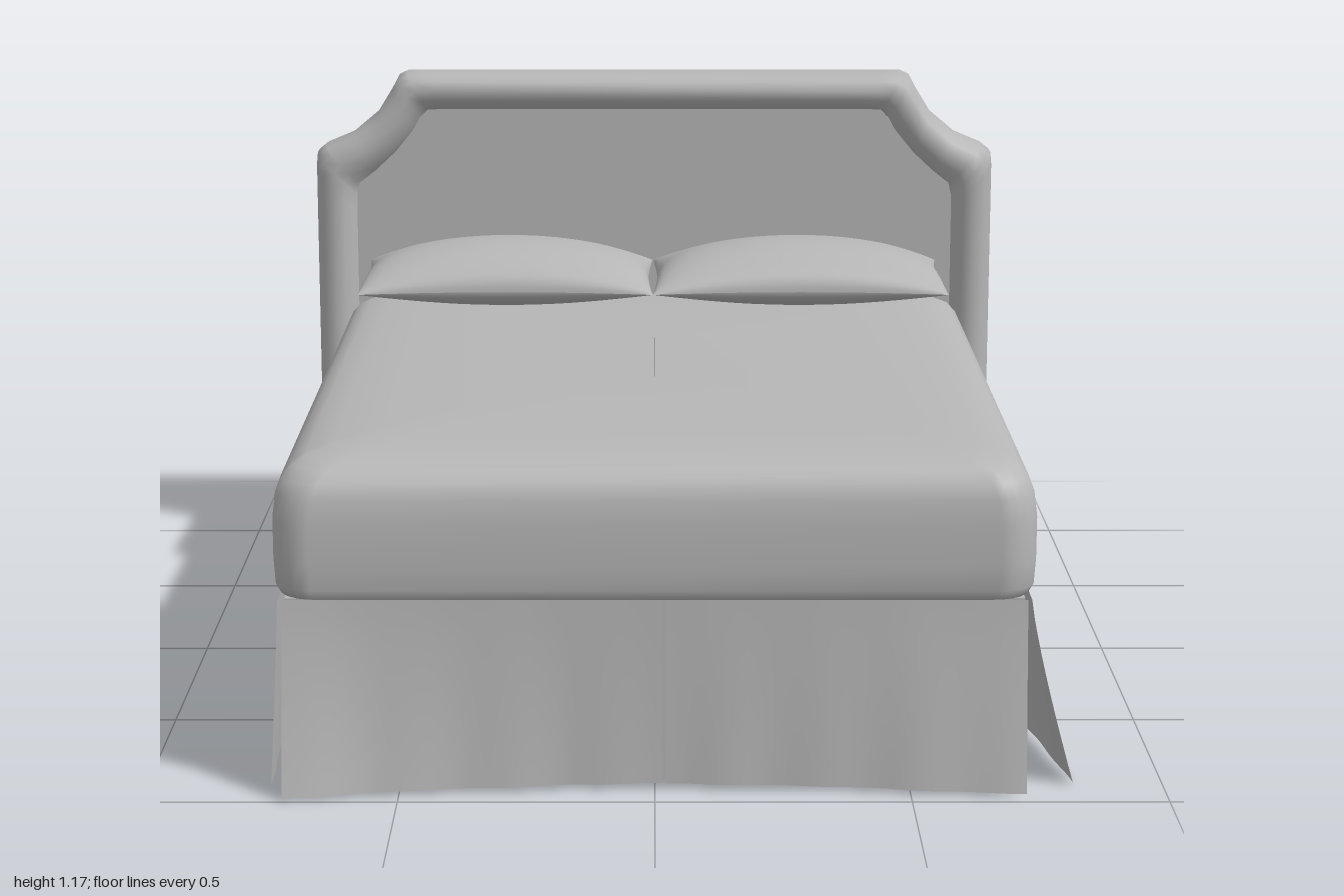
import * as THREE from 'three';
import { mergeVertices } from 'three/addons/utils/BufferGeometryUtils.js';

const upholstery = new THREE.MeshStandardMaterial({ color: 0xb6b6b6, side: THREE.DoubleSide });
upholstery.name = 'grey fabric';

const lerp = THREE.MathUtils.lerp;

// Skin a surface over rows of points, all rows the same length
function loft(rows) {
  const n = rows[0].length, index = [];
  for (let i = 0; i < rows.length - 1; i++) {
    for (let j = 0; j < n - 1; j++) {
      const a = i * n + j, d = a + n;
      index.push(a, a + 1, d + 1, a, d + 1, d);
    }
  }
  const g = new THREE.BufferGeometry();
  g.setAttribute('position', new THREE.Float32BufferAttribute(rows.flat(2), 3));
  g.setIndex(index);
  const welded = mergeVertices(g, 1e-5);
  welded.computeVertexNormals();
  return welded;
}

function part(name, geometry, x = 0, y = 0, z = 0) {
  const mesh = new THREE.Mesh(geometry, upholstery);
  mesh.name = name;
  mesh.position.set(x, y, z);
  return mesh;
}

// Closed rounded rectangle at height y
function roundedRing(y, hx, hz, r) {
  const ring = [];
  const corners = [[1, -1], [-1, -1], [-1, 1], [1, 1]];
  corners.forEach(([sx, sz], k) => {
    for (let s = 0; s <= 6; s++) {
      const a = (k + s / 6) * Math.PI / 2;
      ring.push([sx * (hx - r) + r * Math.cos(a), y, sz * (hz - r) - r * Math.sin(a)]);
    }
  });
  ring.push(ring[0].slice());
  return ring;
}

// Left half of the headboard: outer and inner edges of the padded border
const outerHalf = [[-.825, .045], [-.825, .06], [-.825, .955], [-.822, .985], [-.80, 1.003], [-.735, 1.03],
  [-.675, 1.08], [-.635, 1.145], [-.622, 1.17], [-.60, 1.18], [-.56, 1.18]];
const innerHalf = [[-.725, .045], [-.725, .06], [-.725, .84], [-.724, .88], [-.718, .908], [-.68, .938],
  [-.63, .985], [-.585, 1.04], [-.57, 1.068], [-.55, 1.088], [-.50, 1.09]];
const mirrored = half => [...half, ...half.slice().reverse().map(([x, y]) => [-x, y])];

function headboard() {
  const group = new THREE.Group();
  group.name = 'headboard';
  const outer = mirrored(outerHalf), inner = mirrored(innerHalf);
  const across = (i, s) => [lerp(outer[i][0], inner[i][0], s), lerp(outer[i][1], inner[i][1], s)];

  // Border cross-section: fraction from outer to inner edge, depth
  const section = [[.12, -1], [.03, -.993], [0, -.98], [0, -.925], [.06, -.9], [.2, -.882], [.45, -.873],
    [.7, -.88], [.9, -.9], [1, -.92]];
  const rows = outer.map((_, i) => section.map(([s, z]) => [...across(i, s), z]));
  const cap = x => section.map(() => [x, .045, -.94]);
  group.add(part('paddedBorder', loft([cap(-.775), ...rows, cap(.775)])));

  // Recessed panel, running through to the flat back
  const outline = new THREE.Shape(outer.map((_, i) => new THREE.Vector2(...across(i, .12))));
  const panel = new THREE.ExtrudeGeometry(outline, { depth: .085, bevelEnabled: false });
  group.add(part('panel', panel, 0, 0, -1));

  // Small round feet
  for (const side of [-1, 1]) {
    const foot = part('foot', new THREE.SphereGeometry(.035, 16, 10), side * .68, .032, -.94);
    foot.scale.y = .75;
    group.add(foot);
  }
  return group;
}

function mattress() {
  // Height and inset, from underside to crown
  const profile = [[.385, .03], [.39, .012], [.41, .003], [.46, 0], [.54, 0], [.59, .006], [.62, .017],
    [.642, .036], [.656, .062], [.666, .11], [.674, .2], [.68, .4]];
  const rings = profile.map(([y, inset]) => roundedRing(y, .745 - inset, .895 - inset, .075));
  const underside = roundedRing(.385, .001, .15, .001), crown = roundedRing(.681, .001, .2, .001);
  return part('mattress', loft([underside, ...rings, crown]), 0, 0, .035);
}

// Hanging cloth; flare lists the hem's outward swing from start to end
function skirtPanel(name, start, end, flare, place, hemAt, phase) {
  const cols = 40, rowCount = 10, rows = [];
  for (let i = 0; i <= rowCount; i++) {
    const v = i / rowCount, row = [];
    for (let j = 0; j <= cols; j++) {
      const u = j / cols, f = u * (flare.length - 1), k = Math.min(Math.floor(f), flare.length - 2);
      const swing = lerp(flare[k], flare[k + 1], f - k);
      const along = lerp(start, end, u);
      const ripple = .005 * v * Math.sin(u * 17 + phase) * Math.sin(u * 7 + phase * 2);
      row.push(place(along, lerp(.39, hemAt(along), v), swing * Math.pow(v, 1.2) + ripple));
    }
    rows.push(row.reverse());
  }
  return part(name, loft(rows));
}

function skirt() {
  const group = new THREE.Group();
  group.name = 'bedSkirt';
  const front = (a, y, out) => [a, y, .918 + out];
  const left = (a, y, out) => [.732 + out, y, a - (.39 - y) * .06 * a];
  const right = (a, y, out) => [-.732 - out, y, a - (.39 - y) * .06 * a];
  const frontHem = x => .018 - .008 * Math.abs(x);
  const sideHem = z => .03 - .022 * Math.abs(z);
  group.add(
    skirtPanel('frontRightSkirt', -.725, .014, [.078, .05, .03, .012, .01], front, frontHem, .4),
    skirtPanel('frontLeftSkirt', .022, .725, [.01, .012, .025, .04, .055], front, frontHem, 1.7),
    // The left side runs front to back so that its outside faces out
    skirtPanel('leftFrontSkirt', .92, .004, [.088, .065, .04, .02, .02, .018, .015], left, sideHem, .9),
    skirtPanel('leftRearSkirt', -.004, -.86, [.015, .02, .02, .025, .06], left, sideHem, 2.3),
    skirtPanel('rightRearSkirt', -.86, -.004, [.022, .012, .022, .01, .01], right, sideHem, 1.2),
    skirtPanel('rightFrontSkirt', .004, .93, [.01, .015, .01, .025, .02], right, sideHem, 3.1),
  );
  return group;
}

// Cushion with pinched corners and slightly hollow edges
function pillow(name, x) {
  const n = 28, sheets = new THREE.Group();
  sheets.name = name;
  for (const side of [1, -1]) {
    const rows = [];
    for (let i = 0; i <= n; i++) {
      const row = [];
      for (let j = 0; j <= n; j++) {
        // Closer spacing toward the seams
        const u = Math.sin((j / n - .5) * Math.PI), v = -side * Math.sin((i / n - .5) * Math.PI);
        const puff = Math.pow(Math.max(0, (1 - u * u) * (1 - v * v)), .5);
        const px = .343 * u * (1 - .03 * (1 - v * v) * u * u);
        const pz = .203 * v * (1 - .07 * (1 - u * u) * v * v);
        const edge = .012 * u * u * Math.sin(4 * v);
        row.push([px, side * puff * (side > 0 ? .095 : .055) + edge * .4, pz]);
      }
      rows.push(row);
    }
    sheets.add(part(side > 0 ? 'pillowTop' : 'pillowUnderside', loft(rows)));
  }
  sheets.position.set(x, .728, -.642);
  return sheets;
}

export function createModel() {
  const bed = new THREE.Group();
  bed.name = 'bed';
  bed.add(headboard(), mattress(), skirt());
  bed.add(part('boxSpring', new THREE.BoxGeometry(1.44, .36, 1.765), 0, .21, .025));
  bed.add(pillow('rightPillow', -.347), pillow('leftPillow', .34));
  return bed;
}
